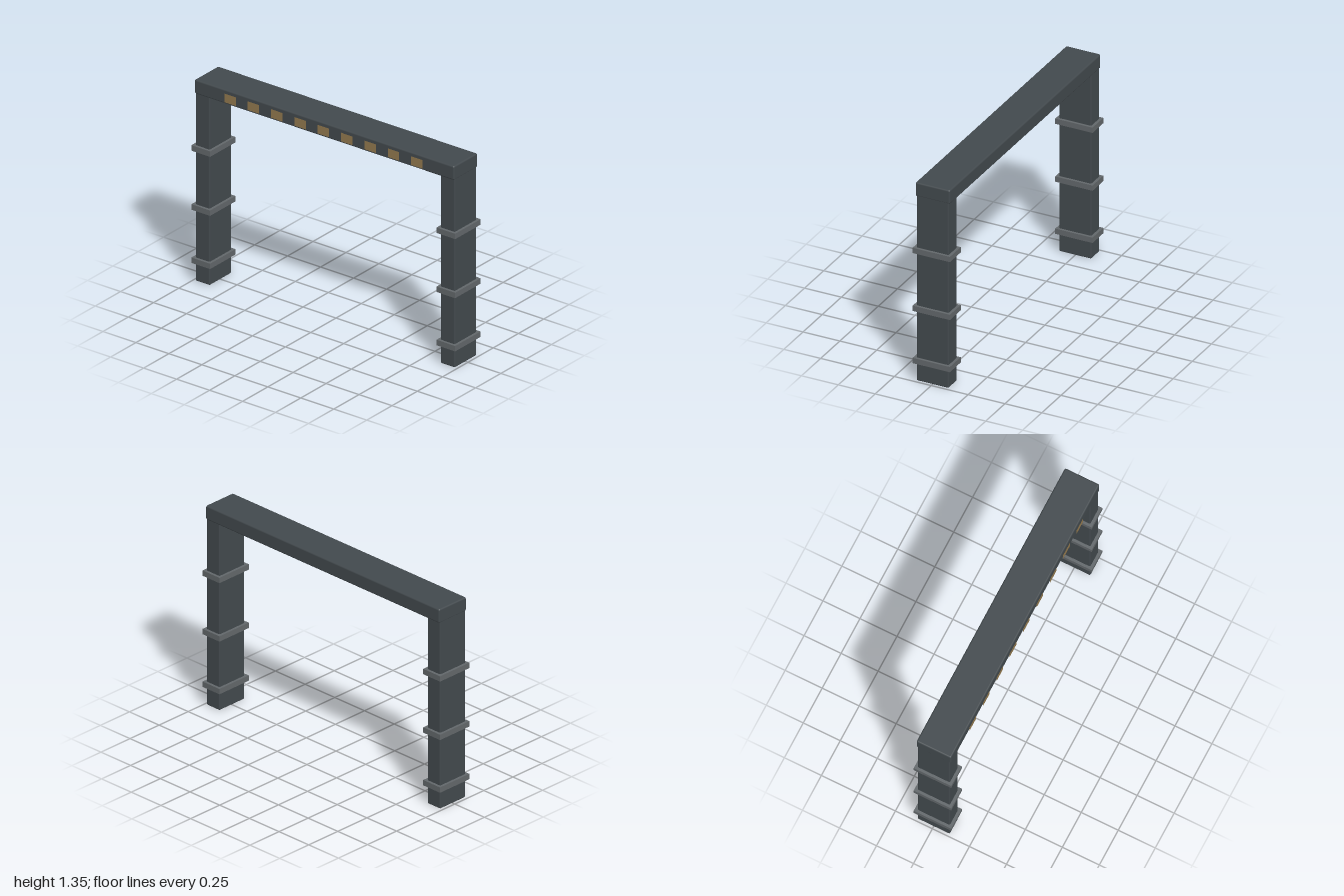
import * as THREE from 'three';
import { RoundedBoxGeometry } from 'three/addons/geometries/RoundedBoxGeometry.js';

const frameMat = new THREE.MeshStandardMaterial({ color: 0x42494d });
const bandMat = new THREE.MeshStandardMaterial({ color: 0x62676a });
const lampMat = new THREE.MeshStandardMaterial({ color: 0x92794e, side: THREE.DoubleSide });

function add(parent, name, geometry, material, x, y, z = 0) {
  const mesh = new THREE.Mesh(geometry, material);
  mesh.name = name;
  mesh.position.set(x, y, z);
  parent.add(mesh);
  return mesh;
}

export function createModel() {
  const model = new THREE.Group();
  model.name = 'gateFrame';

  // Two posts, each wrapped by three bands
  const postGeo = new RoundedBoxGeometry(0.108, 1.27, 0.217, 3, 0.008);
  const bandGeo = new THREE.BoxGeometry(0.142, 0.036, 0.253);
  for (const side of [1, -1]) {
    const post = new THREE.Group();
    post.name = side > 0 ? 'leftPost' : 'rightPost';
    post.position.x = side * 0.929;
    add(post, 'postBody', postGeo, frameMat, 0, 0.635);
    for (const y of [0.14, 0.496, 0.891]) add(post, 'postBand', bandGeo, bandMat, 0, y);
    model.add(post);
  }

  // Crossbeam resting on the posts
  add(model, 'crossbeam', new RoundedBoxGeometry(1.968, 0.094, 0.234, 3, 0.01), frameMat, 0, 1.303);

  // Row of thin lamp panels just in front of the beam
  const lampGeo = new THREE.PlaneGeometry(0.087, 0.058);
  for (let i = -4; i <= 4; i++) add(model, 'lampPanel', lampGeo, lampMat, i * 0.177, 1.299, 0.124);

  return model;
}
